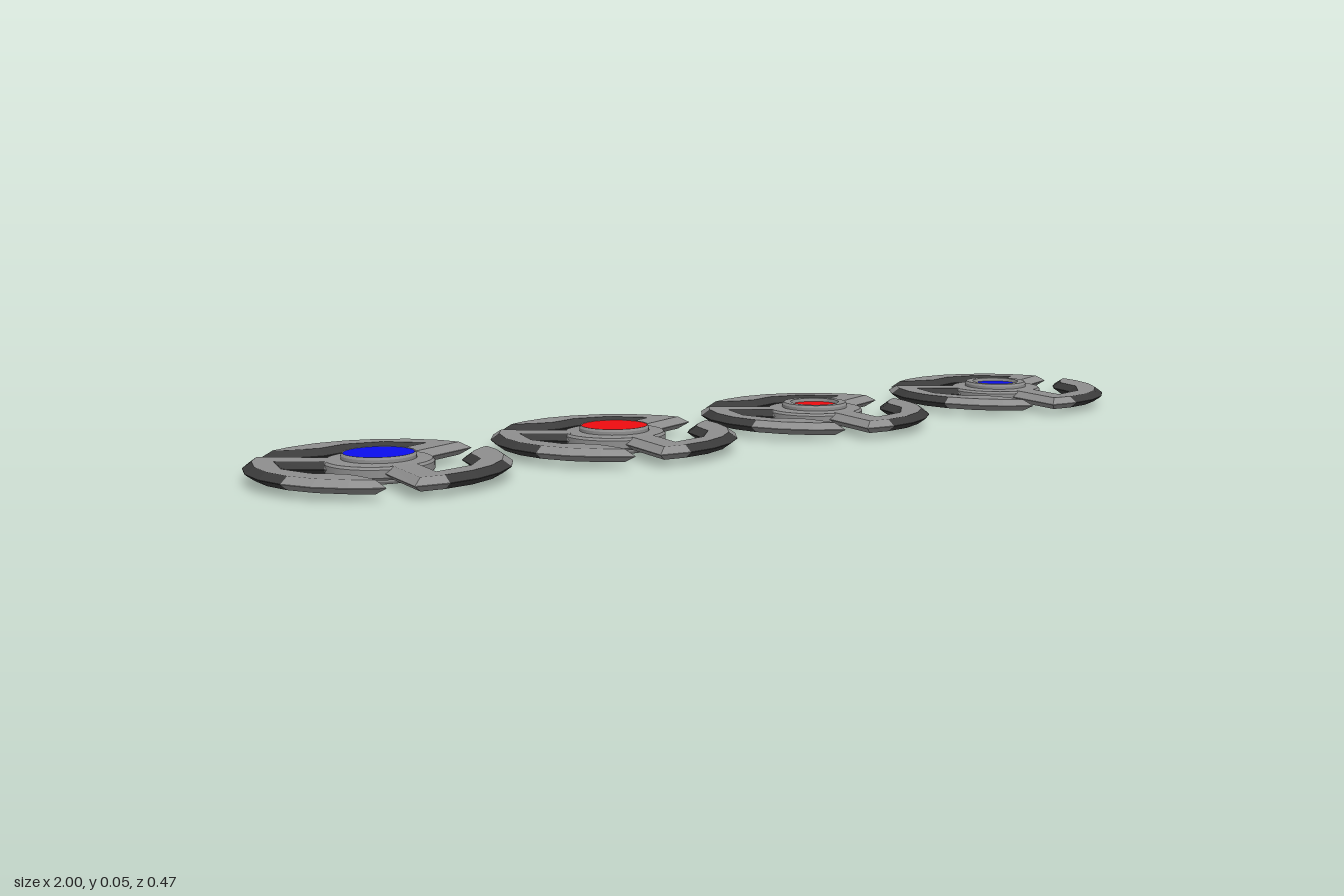
import * as THREE from 'three';
import { toCreasedNormals } from 'three/addons/utils/BufferGeometryUtils.js';

const MID = 0.024; // height of the symmetry plane
const steel = new THREE.MeshStandardMaterial({ color: 0x8e8e8e });
const steelFlat = new THREE.MeshStandardMaterial({ color: 0x8e8e8e, flatShading: true });
const darkFlat = new THREE.MeshStandardMaterial({ color: 0x3b3b3b, flatShading: true });
const blue = new THREE.MeshStandardMaterial({ color: 0x0a0eee });
const red = new THREE.MeshStandardMaterial({ color: 0xee0c10 });

// Hooked blade: spoke, faceted outer arc and pointed tip, bevelled to a mid-height edge
function bladeGeometry() {
  const outline = [[-12, 0.075]];
  for (let i = 0; i <= 7; i++) outline.push([i * 15.5, 0.233]);
  outline.push([106, 0.195], [98, 0.165], [87, 0.147], [65, 0.161], [43, 0.168], [23, 0.165], [38, 0.1], [42, 0.075]);
  const points = outline.map(([deg, r]) => {
    const a = THREE.MathUtils.degToRad(deg - 105);
    return new THREE.Vector2(r * Math.cos(a), r * Math.sin(a));
  });
  const geometry = new THREE.ExtrudeGeometry(new THREE.Shape(points), {
    depth: 0.001, bevelEnabled: true, bevelThickness: 0.0115,
    bevelSize: 0.016, bevelOffset: -0.016, bevelSegments: 1,
  });
  geometry.translate(0, 0, -0.0005);
  geometry.rotateX(-Math.PI / 2);

  // Dark bevels along the outer arc (edges 2-8) and the inner arc (edges 12-14);
  // the side walls run from the last edge to the first, three quads per edge
  const [caps, sides] = geometry.groups;
  geometry.clearGroups();
  geometry.addGroup(caps.start, caps.count, 0);
  for (let edge = 0; edge < points.length; edge++) {
    const dark = (edge >= 2 && edge <= 8) || (edge >= 12 && edge <= 14);
    geometry.addGroup(sides.start + (points.length - 1 - edge) * 18, 18, dark ? 1 : 0);
  }
  return geometry;
}

// Lathe whose profile is mirrored about the mid plane; upper half listed from outside in
function mirroredLathe(upper) {
  const lower = upper.map(([r, y]) => [r, -y]).reverse();
  const points = [...lower, ...upper].map(([r, y]) => new THREE.Vector2(r, y));
  return toCreasedNormals(new THREE.LatheGeometry(points, 36), 0.5);
}

function createDisc(name, gemMaterial, gemRadius) {
  const disc = new THREE.Group();
  disc.name = name;
  const add = (partName, geometry, material) => {
    const mesh = new THREE.Mesh(geometry, material);
    mesh.name = partName;
    disc.add(mesh);
    return mesh;
  };

  // Three blades around the hub
  const blade = bladeGeometry();
  for (let i = 0; i < 3; i++) {
    add('blade' + (i + 1), blade, [steelFlat, darkFlat]).rotation.y = (i * Math.PI * 2) / 3;
  }

  // Wide flange, raised rim and the gem set in it on both sides
  const gemY = gemRadius > 0.055 ? 0.0225 : 0.017;
  add('hubFlange', mirroredLathe([[0.097, 0.007], [0.093, 0.0115], [0.06, 0.0135]]), steel);
  add('hubRim', mirroredLathe([
    [0.066, 0.019], [0.063, 0.0235], [gemRadius + 0.002, 0.0235], [gemRadius, gemY - 0.002],
  ]), steel);
  add('gem', new THREE.CylinderGeometry(gemRadius, gemRadius, gemY * 2, 36), gemMaterial);
  disc.position.y = MID;
  return disc;
}

export function createModel() {
  const model = new THREE.Group();
  model.name = 'throwingDiscs';
  const discs = [
    ['largeBlueDisc', blue, 0.062, -0.768],
    ['largeRedDisc', red, 0.062, -0.264],
    ['smallRedDisc', red, 0.047, 0.239],
    ['smallBlueDisc', blue, 0.047, 0.767],
  ];
  for (const [name, material, radius, x] of discs) {
    const disc = createDisc(name, material, radius);
    disc.position.x = x;
    model.add(disc);
  }
  return model;
}
